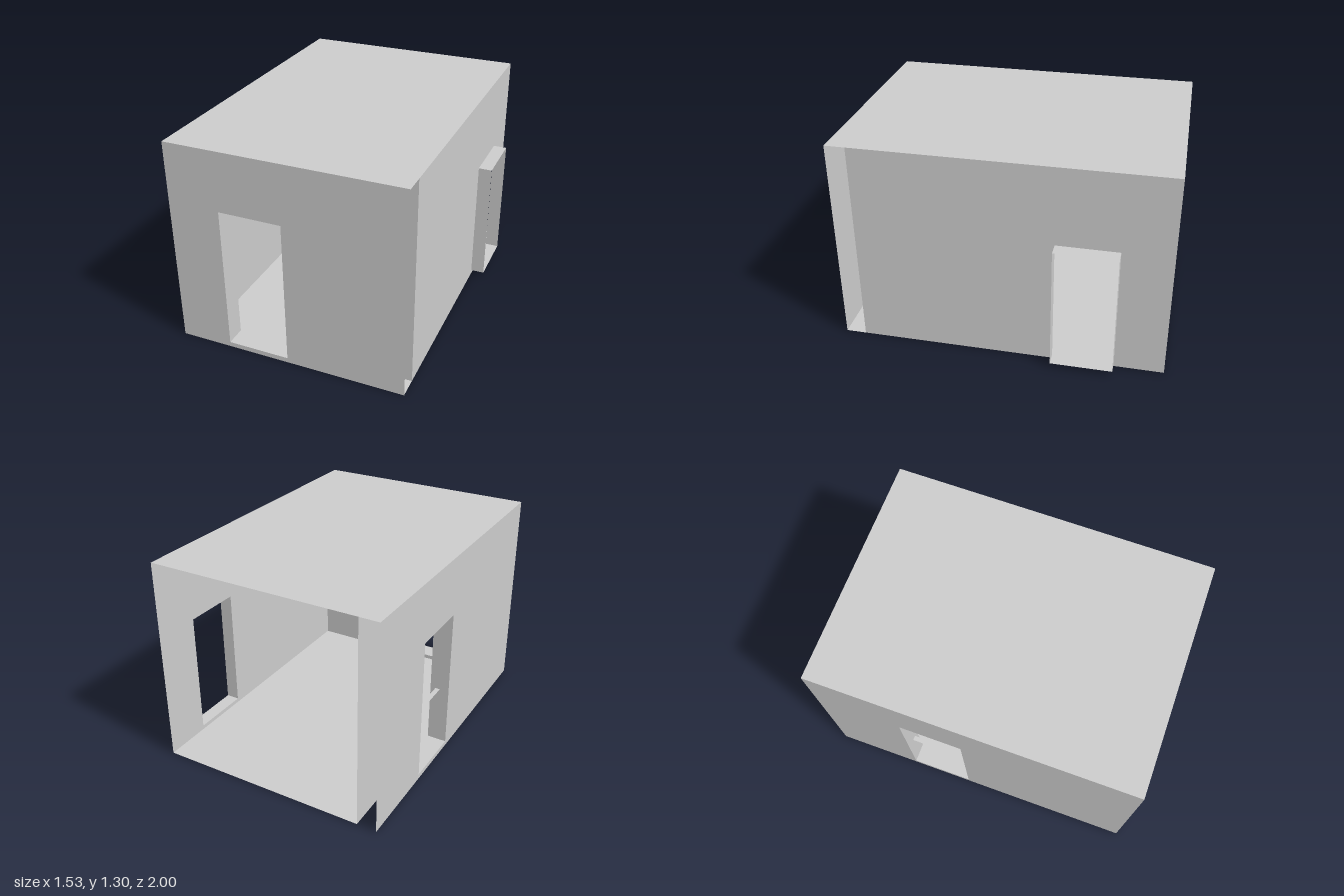
import * as THREE from 'three';

const mat = new THREE.MeshStandardMaterial({ color: 0xcccccc, side: THREE.DoubleSide });

// Main planes of the room
const LEFT = -0.763, LEFT_INNER = -0.642, RIGHT = 0.678, RIGHT_OUTER = 0.763;
const FRONT = 1, FRONT_INNER = 0.875, BACK = -1, TOP = 1.3;
const FLOOR = 0.004;

// Openings: u runs along the wall (x or z), v is height
const doorway = { u0: -0.44, u1: -0.053, v0: 0.03, v1: 0.928 };
const leftOpening = { u0: -0.46, u1: -0.07, v0: 0.03, v1: 0.928 };
const rightOpening = { u0: -0.7, u1: -0.325, v0: 0.03, v1: 0.81 };

function add(group, name, geometry) {
  const mesh = new THREE.Mesh(geometry, mat);
  mesh.name = name;
  group.add(mesh);
  return mesh;
}

// Thin sheet with a rectangular hole, in the XY plane
function sheet(u0, u1, v0, v1, hole) {
  const rect = (s, a, b, c, d) => s.moveTo(a, c).lineTo(b, c).lineTo(b, d).lineTo(a, d).closePath();
  const shape = rect(new THREE.Shape(), u0, u1, v0, v1);
  if (hole) shape.holes.push(rect(new THREE.Path(), hole.u0, hole.u1, hole.v0, hole.v1));
  return new THREE.ShapeGeometry(shape);
}

// Open-ended rectangular sleeve lining an opening, from depth d0 to d1 along z
function sleeve(o, d0, d1) {
  const tube = new THREE.CylinderGeometry(Math.SQRT1_2, Math.SQRT1_2, 1, 4, 1, true, Math.PI / 4).toNonIndexed();
  tube.rotateX(Math.PI / 2);
  tube.scale(o.u1 - o.u0, o.v1 - o.v0, d1 - d0);
  tube.translate((o.u0 + o.u1) / 2, (o.v0 + o.v1) / 2, (d0 + d1) / 2);
  tube.computeVertexNormals();
  return tube;
}

// Turn XY geometry so that u runs along z and depth along -x
const toSide = (geometry) => geometry.rotateY(-Math.PI / 2);

// Horizontal sheet
function slab(x0, x1, y) {
  return new THREE.PlaneGeometry(x1 - x0, FRONT - BACK).rotateX(-Math.PI / 2).translate((x0 + x1) / 2, y, 0);
}

export function createModel() {
  const room = new THREE.Group();
  room.name = 'room';

  // Floor and ceiling
  add(room, 'floor', slab(LEFT_INNER, RIGHT, FLOOR));
  add(room, 'ceiling', slab(LEFT, RIGHT, TOP).rotateX(0));

  // Double front wall with a lined doorway
  add(room, 'frontOuterWall', sheet(LEFT, RIGHT, 0, TOP, doorway).translate(0, 0, FRONT));
  add(room, 'frontInnerWall', sheet(LEFT_INNER, RIGHT, FLOOR, TOP, doorway).translate(0, 0, FRONT_INNER));
  add(room, 'frontReveal', sleeve(doorway, FRONT_INNER, FRONT));

  // Double left wall with a lined opening and a thin cross plate
  add(room, 'leftOuterWall', toSide(sheet(BACK, FRONT, 0, TOP, leftOpening)).translate(LEFT, 0, 0));
  add(room, 'leftInnerWall', toSide(sheet(BACK, FRONT_INNER, FLOOR, TOP, leftOpening)).translate(LEFT_INNER, 0, 0));
  add(room, 'leftReveal', toSide(sleeve(leftOpening, -LEFT_INNER, -LEFT)));
  const plate = new THREE.PlaneGeometry(0.03, leftOpening.u1 - leftOpening.u0).rotateX(-Math.PI / 2);
  add(room, 'leftCrossPlate', plate.translate(-0.69, 0.4, (leftOpening.u0 + leftOpening.u1) / 2));

  // Single right wall, its reveal standing proud outside
  add(room, 'rightWall', toSide(sheet(BACK, FRONT_INNER, FLOOR, TOP, rightOpening)).translate(RIGHT, 0, 0));
  add(room, 'rightReveal', toSide(sleeve(rightOpening, -RIGHT_OUTER, -RIGHT)));

  return room;
}
